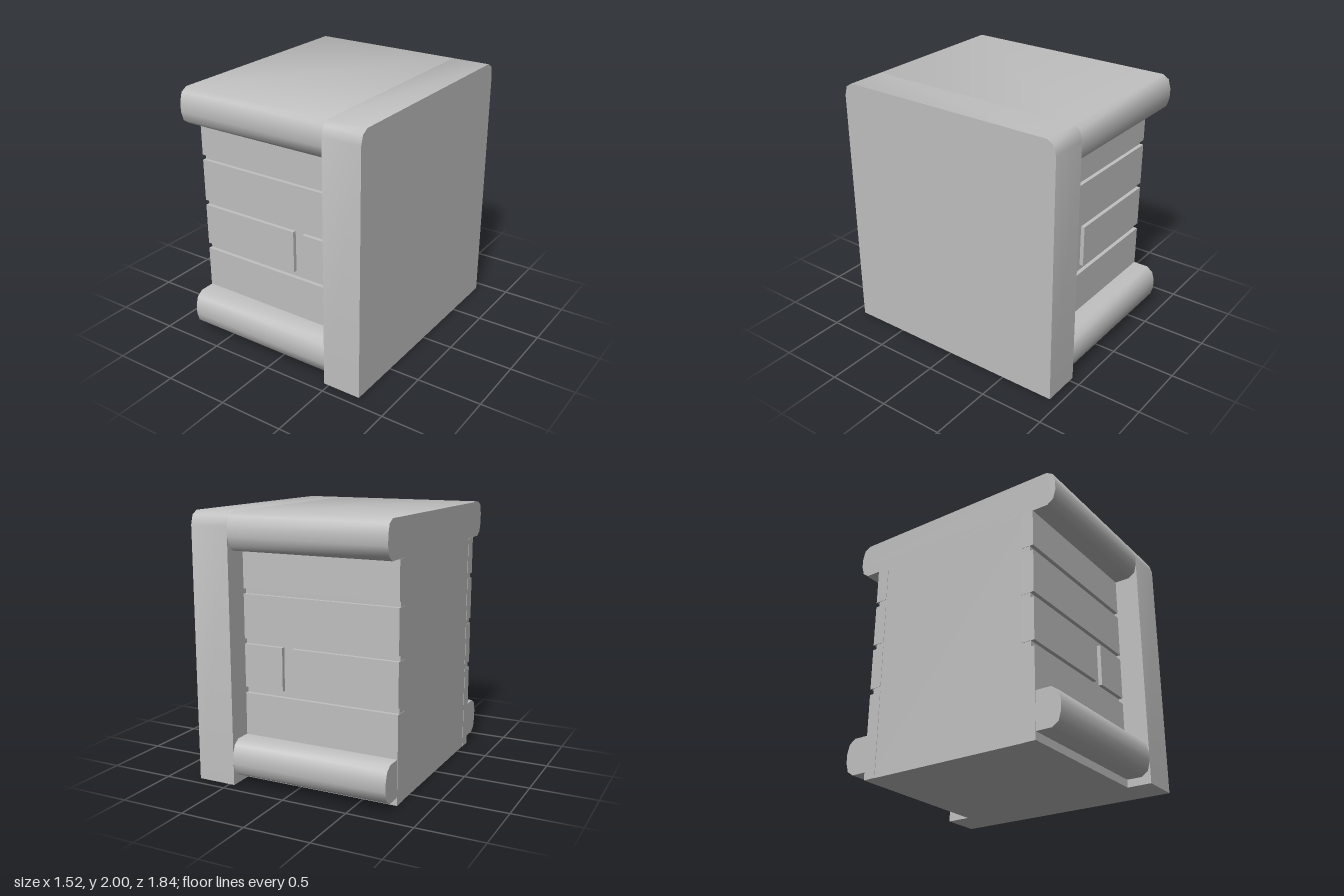
import * as THREE from 'three';
import { toCreasedNormals } from 'three/addons/utils/BufferGeometryUtils.js';

// Extrudes a (z, y) outline along x from x0 to x1, with soft curves and sharp ends
function extrudeAlongX(outline, x0, x1) {
  const shape = new THREE.Shape(outline.map(([z, y]) => new THREE.Vector2(-z, y)));
  const geo = new THREE.ExtrudeGeometry(shape, { depth: x1 - x0, bevelEnabled: false });
  geo.rotateY(Math.PI / 2); // depth -> +x, shape x -> -z
  geo.translate(x0, 0, 0);
  return toCreasedNormals(geo, 0.82);
}

export function createModel() {
  const group = new THREE.Group();
  const stone = new THREE.MeshStandardMaterial({ color: 0xc0c0c0 });
  stone.name = 'grey stone';

  const add = (name, geo) => {
    const mesh = new THREE.Mesh(geo, stone);
    mesh.name = name;
    group.add(mesh);
  };
  const addBox = (name, x0, x1, y0, y1, z0, z1) => {
    const geo = new THREE.BoxGeometry(x1 - x0, y1 - y0, z1 - z0);
    geo.translate((x0 + x1) / 2, (y0 + y1) / 2, (z0 + z1) / 2);
    add(name, geo);
  };
  const mirrorZ = (pts) => pts.map(([z, y]) => [-z, y]).reverse();

  const left = -0.76, inner = 0.46, right = 0.76;

  // End post with rounded top edges
  const shoulder = [[0.92, 1.9], [0.9, 1.97], [0.85, 2]];
  const postSide = [[0.92, 0], ...shoulder];
  add('endPost', extrudeAlongX([...postSide, ...mirrorZ(postSide)], inner, right));

  // Rounded coping along the top
  const copingSide = [[0.85, 1.725], [0.9, 1.76], [0.92, 1.83], ...shoulder];
  add('coping', extrudeAlongX([...copingSide, ...mirrorZ(copingSide)], left, inner));

  // Wall core, seen as the recessed mortar
  addBox('wallCore', left, inner, 0, 1.725, -0.7, 0.7);

  // Rounded base moulding on both faces
  const roll = [[0.7, 0.06], [0.85, 0.06], [0.9, 0.095], [0.92, 0.165],
    [0.92, 0.235], [0.9, 0.305], [0.85, 0.34], [0.7, 0.34]];
  add('frontBaseMoulding', extrudeAlongX(roll, left, inner));
  add('backBaseMoulding', extrudeAlongX(mirrorZ(roll), left, inner));

  // Brick courses: [x0, x1, y0, y1], repeated on both faces
  const end = left - 0.003;
  const bricks = [
    [end, inner, 0, 0.66],
    [end, 0.065, 0.705, 1.03],
    [0.145, inner, 0.705, 1.03],
    [end, inner, 1.07, 1.4],
    [end, inner, 1.44, 1.725],
  ];
  for (const [x0, x1, y0, y1] of bricks) {
    addBox('frontBrick', x0, x1, y0, y1, 0.63, 0.73);
    addBox('backBrick', x0, x1, y0, y1, -0.73, -0.63);
  }
  return group;
}
